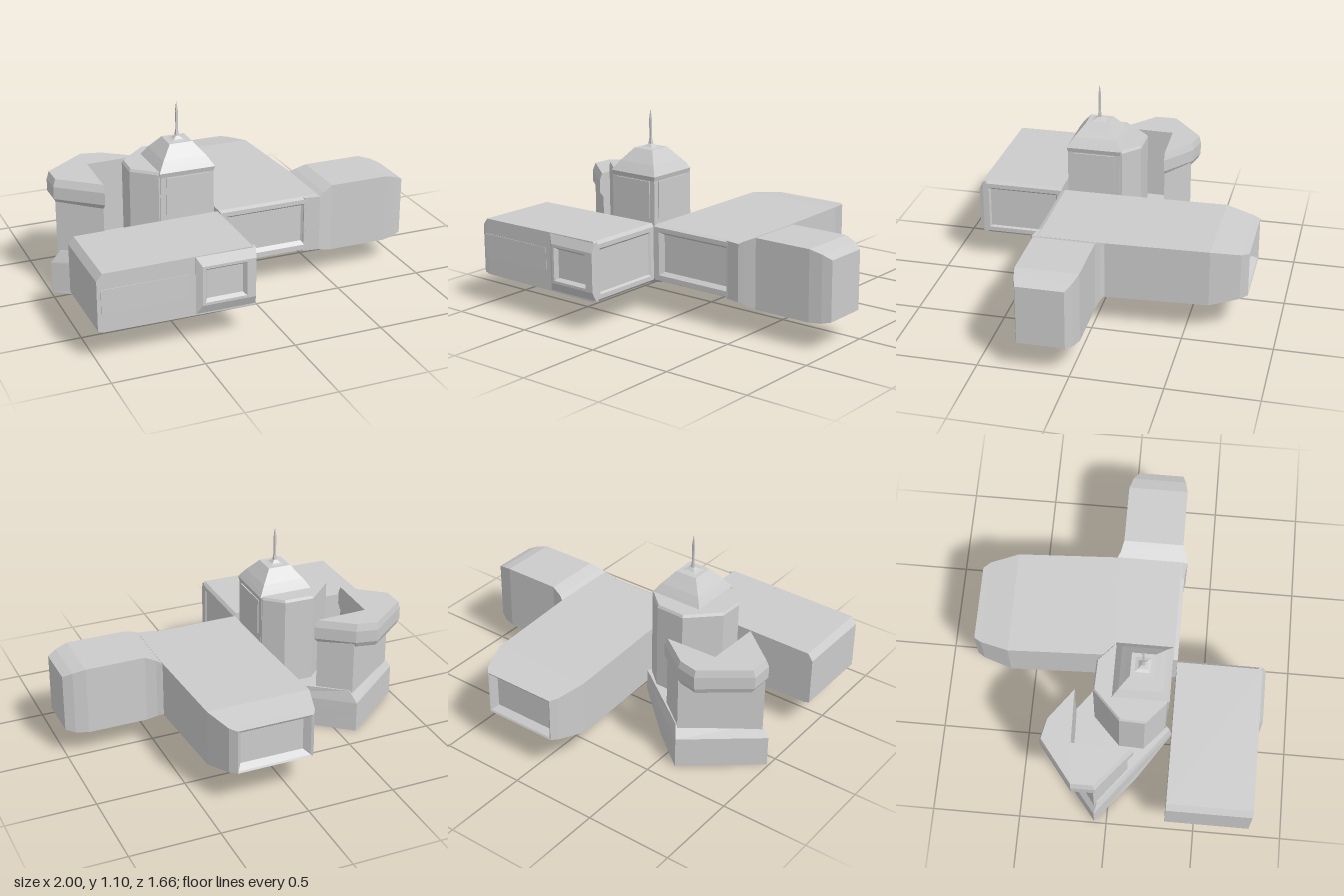
import * as THREE from 'three';

// Cross-section rings, each anticlockwise when seen from the + end of its axis
const zRing = (z, x0, x1, y0, y1) => [[x0, y0, z], [x1, y0, z], [x1, y1, z], [x0, y1, z]];
const xRing = (x, z0, z1, y0, y1) => [[x, y0, z1], [x, y0, z0], [x, y1, z0], [x, y1, z1]];
const yRing = (y, pts, s = 1, cx = 0, cz = 0) =>
  pts.map(([x, z]) => [cx + (x - cx) * s, y, cz + (z - cz) * s]);

// Skin a list of rings and close both ends with a fan from the first corner
function loft(rings) {
  const pos = [];
  const tri = (a, b, c) => pos.push(...a, ...b, ...c);
  const n = rings[0].length;
  for (let r = 0; r < rings.length - 1; r++) {
    const a = rings[r], b = rings[r + 1];
    for (let i = 0; i < n; i++) {
      const j = (i + 1) % n;
      tri(a[i], a[j], b[j]);
      tri(a[i], b[j], b[i]);
    }
  }
  const first = rings[0], last = rings[rings.length - 1];
  for (let i = 1; i < n - 1; i++) {
    tri(first[0], first[i + 1], first[i]);
    tri(last[0], last[i], last[i + 1]);
  }
  const g = new THREE.BufferGeometry();
  g.setAttribute('position', new THREE.Float32BufferAttribute(pos, 3));
  g.computeVertexNormals();
  return g;
}

export function createModel() {
  const group = new THREE.Group();
  const mat = new THREE.MeshStandardMaterial({ color: 0xcccccc, flatShading: true });
  const add = (name, geo) => {
    const m = new THREE.Mesh(geo, mat);
    m.name = name;
    group.add(m);
    return m;
  };
  const box = (name, w, h, d, x, y, z) =>
    add(name, new THREE.BoxGeometry(w, h, d)).position.set(x, y, z);

  // Long hall running back, with a recessed window at each end
  add('mainHall', loft([
    zRing(-0.79, -0.06, 0.30, 0.25, 0.435),
    zRing(-0.825, -0.09, 0.325, 0.225, 0.46),
    zRing(-0.83, -0.10, 0.33, 0.215, 0.47),
    zRing(-0.79, -0.125, 0.365, 0.208, 0.475),
    zRing(-0.63, -0.17, 0.42, 0.178, 0.50),
    zRing(-0.04, -0.147, 0.45, 0.175, 0.505),
    zRing(0.31, -0.145, 0.45, 0.18, 0.505),
    zRing(0.332, -0.14, 0.40, 0.19, 0.495),
    zRing(0.332, -0.11, 0.37, 0.22, 0.47),
    zRing(0.31, -0.085, 0.35, 0.24, 0.455),
  ]));

  // Side wing, swelling beyond the joint and tapering at its end
  add('sideWing', loft([
    xRing(0.36, -0.06, 0.33, 0.18, 0.503),
    xRing(0.45, -0.06, 0.345, 0.182, 0.503),
    xRing(0.48, -0.045, 0.335, 0.17, 0.52),
    xRing(0.54, -0.03, 0.312, 0.15, 0.545),
    xRing(0.88, -0.03, 0.312, 0.15, 0.545),
    xRing(0.95, -0.01, 0.298, 0.155, 0.525),
    xRing(1.0, 0.02, 0.28, 0.167, 0.50),
  ]));

  // Front wing, with a shallow recess on its inner end
  add('frontWing', loft([
    xRing(-1.0, 0.33, 0.805, 0.19, 0.465),
    xRing(-0.97, 0.33, 0.807, 0.18, 0.505),
    xRing(-0.16, 0.33, 0.81, 0.175, 0.512),
    xRing(-0.145, 0.335, 0.80, 0.19, 0.495),
    xRing(-0.145, 0.36, 0.775, 0.215, 0.47),
    xRing(-0.155, 0.37, 0.765, 0.225, 0.46),
  ]));
  box('longWindow', 0.47, 0.135, 0.006, -0.745, 0.35, 0.808);
  add('windowFrame', loft([
    zRing(0.79, -0.48, -0.145, 0.18, 0.51),
    zRing(0.81, -0.475, -0.145, 0.185, 0.505),
    zRing(0.832, -0.445, -0.15, 0.235, 0.455),
    zRing(0.832, -0.43, -0.20, 0.25, 0.44),
    zRing(0.81, -0.415, -0.215, 0.265, 0.425),
  ]));

  // Square tower with a curved four-sided dome and thin spire
  const tx = -0.32, tz = 0.145;
  const square = [[tx - 1, tz + 1], [tx + 1, tz + 1], [tx + 1, tz - 1], [tx - 1, tz - 1]];
  const squares = (profile) =>
    loft(profile.map(([y, h]) => yRing(y, square, h, tx, tz)));
  add('tower', squares([[0.18, 0.152], [0.74, 0.152], [0.765, 0.158], [0.79, 0.142],
    [0.82, 0.122], [0.855, 0.093], [0.89, 0.065]]));
  box('towerWindowsFrontBack', 0.24, 0.21, 0.316, tx, 0.63, tz);
  box('towerWindowsSides', 0.316, 0.21, 0.24, tx, 0.63, tz);
  add('spire', squares([[0.885, 0.06], [0.895, 0.025], [0.91, 0.01], [0.95, 0.005],
    [1.05, 0.006], [1.1, 0.001]]));

  // Many-sided stair block behind the tower
  const stair = [[-0.17, -0.02], [-0.27, -0.11], [-0.44, -0.115], [-0.6, 0.04],
    [-0.605, 0.18], [-0.48, 0.29], [-0.3, 0.29], [-0.17, 0.2]];
  add('stairBlock', loft([
    yRing(0.18, stair), yRing(0.755, stair), yRing(0.77, stair, 0.97, tx, tz),
  ]));

  // Diagonal base, its underside sloping up towards the hall
  const base = [[-0.145, -0.03], [-0.6, -0.385], [-0.99, -0.07], [-0.48, 0.33]];
  const foot = [[-0.38, -0.21], [-0.6, -0.385], [-0.99, -0.07], [-0.72, 0.15]];
  const rim = [[-0.145, -0.03], [-0.57, -0.345], [-0.94, -0.055], [-0.48, 0.32]];
  const heel = yRing(0.12, base);
  add('diagonalBase', loft([yRing(0, foot), heel, yRing(0.18, base), yRing(0.25, rim)]));

  // Angled outer wall carrying an overhanging bevelled cap
  const wall = [[-0.72, -0.21], [-0.42, -0.22], [-0.585, -0.35], [-0.95, -0.07], [-0.73, 0.1]];
  add('outerWall', loft([yRing(0.2, wall), yRing(0.56, wall)]));
  const cap = [[-0.72, -0.21], [-0.4, -0.22], [-0.59, -0.36], [-0.71, -0.385],
    [-0.96, -0.19], [-0.96, -0.06], [-0.73, 0.13]];
  add('wallCap', loft([[0.53, 0.92], [0.56, 1], [0.63, 1], [0.672, 0.94]]
    .map(([y, s]) => yRing(y, cap, s, -0.72, -0.21))));

  return group;
}
